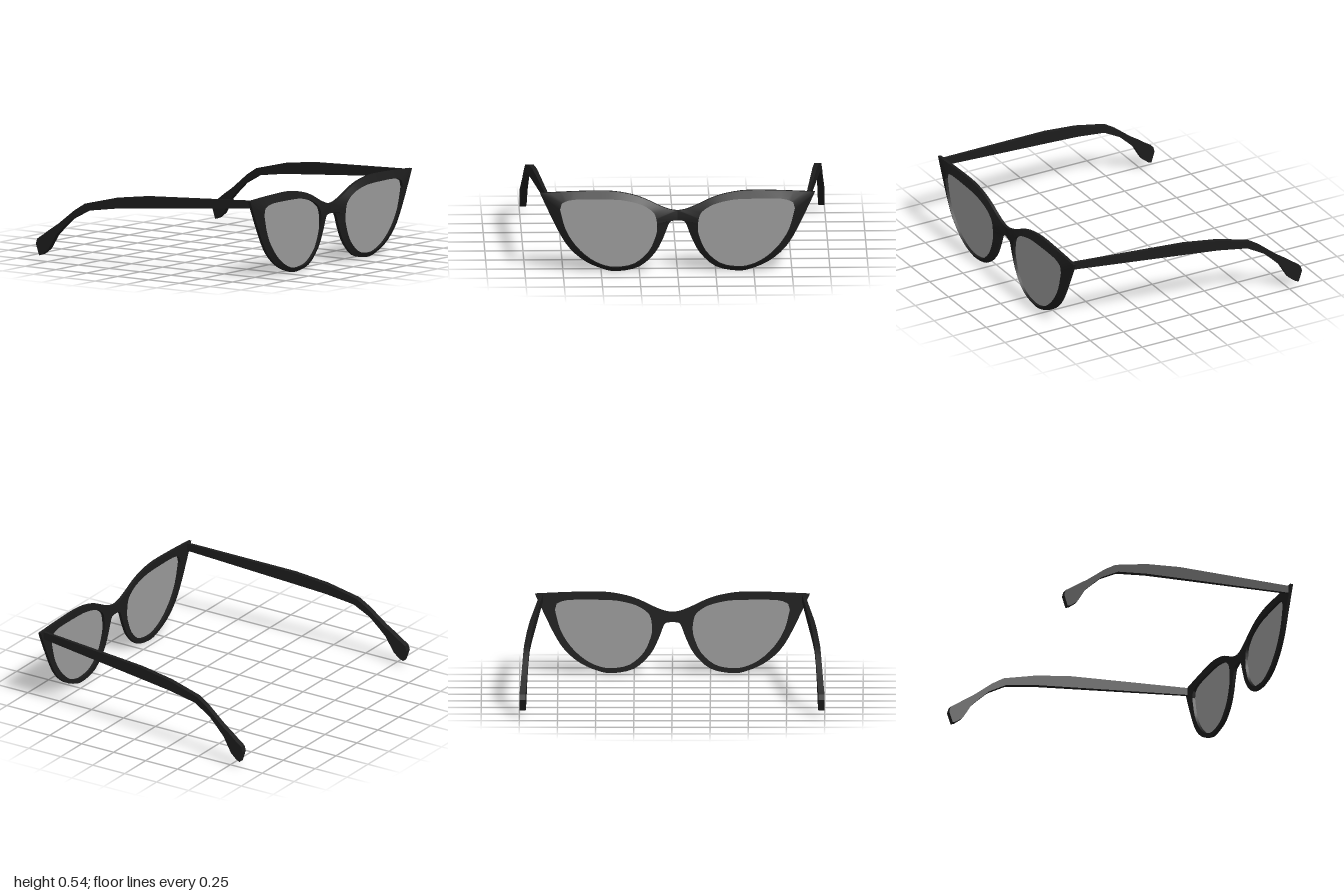
import * as THREE from 'three';
import { toCreasedNormals } from 'three/addons/utils/BufferGeometryUtils.js';

const black = new THREE.MeshStandardMaterial({ color: 0x1c1c1c });
const lensGrey = new THREE.MeshStandardMaterial({ color: 0x999999, side: THREE.DoubleSide });

// Skin a row of four-cornered sections; side = -1 mirrors across x
function loft(sections, side, closed) {
  const pos = sections.flat().flatMap(([x, y, z]) => [x * side, y, z]);
  const index = [];
  const quad = (a, b, c, d) =>
    side > 0 ? index.push(a, b, c, a, c, d) : index.push(a, c, b, a, d, c);
  const n = sections.length;
  for (let i = 0; i < (closed ? n : n - 1); i++) {
    const p = i * 4, q = ((i + 1) % n) * 4;
    for (let j = 0; j < 4; j++) {
      const k = (j + 1) % 4;
      quad(p + j, p + k, q + k, q + j);
    }
  }
  if (!closed) {
    const e = (n - 1) * 4;
    quad(3, 2, 1, 0);
    quad(e, e + 1, e + 2, e + 3);
  }
  const g = new THREE.BufferGeometry();
  g.setAttribute('position', new THREE.Float32BufferAttribute(pos, 3));
  g.setIndex(index);
  return toCreasedNormals(g, 0.45);
}

// Smooth curve through 2D points, evenly stepped between them
const smooth = (pts, steps) =>
  new THREE.SplineCurve(pts.map(([x, y]) => new THREE.Vector2(x, y))).getPoints((pts.length - 1) * steps);

// Rim, half of the front: outer x, y and matching lens-opening x, y
const brow = [
  [0, 0.405, 0.138, 0.35], [0.05, 0.413, 0.147, 0.38], [0.12, 0.44, 0.17, 0.41],
  [0.225, 0.49, 0.235, 0.45], [0.33, 0.522, 0.335, 0.477], [0.465, 0.54, 0.44, 0.487],
  [0.68, 0.537, 0.68, 0.487], [0.9, 0.527, 0.758, 0.462],
];
const lower = [
  [0.893, 0.51, 0.77, 0.42], [0.786, 0.283, 0.733, 0.283], [0.706, 0.155, 0.663, 0.17],
  [0.6, 0.065, 0.57, 0.085], [0.48, 0.013, 0.475, 0.04], [0.39, 0, 0.39, 0.03],
  [0.25, 0.03, 0.28, 0.053], [0.145, 0.125, 0.187, 0.134], [0.09, 0.23, 0.14, 0.24],
  [0.06, 0.31, 0.133, 0.295], [0.04, 0.335, 0.134, 0.32], [0, 0.34, 0.136, 0.335],
];

// Temple: top z, y and bottom z, y along its length
const templeProfile = [
  [0.8, 0.525, 0.8, 0.475], [0, 0.49, 0, 0.41], [-0.24, 0.46, -0.24, 0.39],
  [-0.47, 0.405, -0.45, 0.36], [-0.55, 0.355, -0.57, 0.295], [-0.675, 0.255, -0.64, 0.23],
  [-0.735, 0.215, -0.69, 0.18], [-0.79, 0.175, -0.75, 0.08], [-0.835, 0.145, -0.795, 0.045],
  [-0.845, 0.11, -0.82, 0.035],
];

export function createModel() {
  const model = new THREE.Group();
  const add = (name, geometry, material) => {
    const mesh = new THREE.Mesh(geometry, material);
    mesh.name = name;
    model.add(mesh);
  };

  // Rim edges, kept sharp at the winged corner
  const outer = [brow, lower].flatMap(r => smooth(r.map(p => [p[0], p[1]]), 3));
  const inner = [brow, lower].flatMap(r => smooth(r.map(p => [p[2], p[3]]), 3));

  // Front face rises from the outer edge to the lens opening
  const rim = outer.map((o, i) => [
    [o.x, o.y, 0.8], [o.x, o.y, 0.82],
    [inner[i].x, inner[i].y, 0.84], [inner[i].x, inner[i].y, 0.8],
  ]);

  // Temples splay outward and thicken towards the tips
  const xIn = z => THREE.MathUtils.mapLinear(z, 0.8, -0.845, 0.848, 0.96);
  const xOut = z => THREE.MathUtils.mapLinear(z, 0.8, -0.845, 0.868, 1);
  const temple = templeProfile.map(([tz, ty, bz, by]) => [
    [xIn(tz), ty, tz], [xOut(tz), ty, tz], [xOut(bz), by, bz], [xIn(bz), by, bz],
  ]);

  for (const [side, label] of [[1, 'left'], [-1, 'right']]) {
    add(label + 'Rim', loft(rim, side, true), black);
    add(label + 'Temple', loft(temple, side, false), black);
    const lens = new THREE.ShapeGeometry(
      new THREE.Shape(inner.map(p => new THREE.Vector2(p.x * side, p.y))));
    lens.translate(0, 0, 0.82);
    add(label + 'Lens', lens, lensGrey);
  }
  return model;
}
